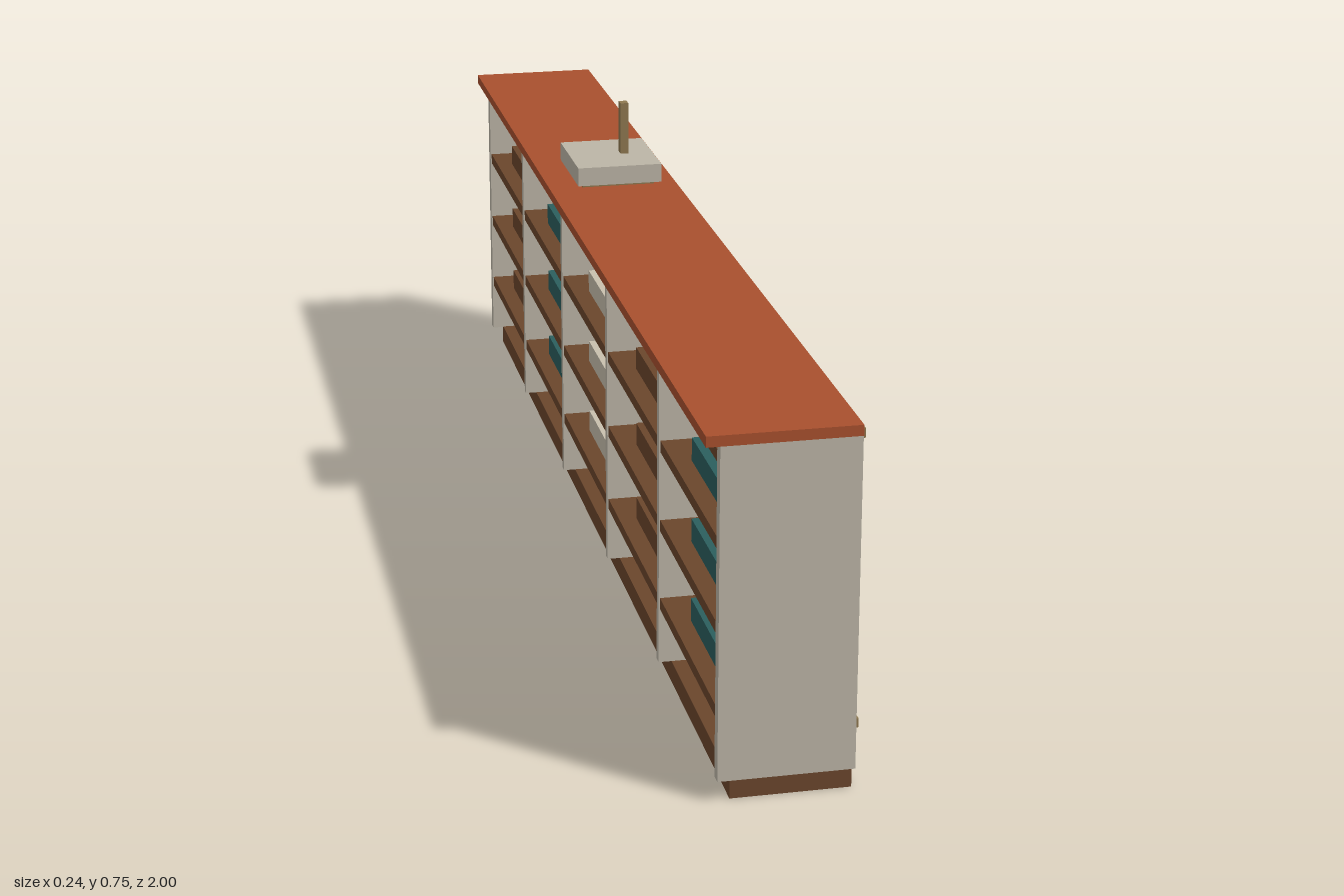
import * as THREE from 'three';

const material = (name, color) => {
  const m = new THREE.MeshStandardMaterial({ color });
  m.name = name;
  return m;
};

export function createModel() {
  const group = new THREE.Group();
  const cream = material('cream panel', 0xbcb5a6);
  const rust = material('rust counter', 0xa8502e);
  const brown = material('brown wood', 0x6b462c);
  const brass = material('brass', 0x8e7850);
  const teal = material('teal', 0x2b5f5e);
  const pale = material('pale box', 0xc8c0ae);

  // Box given by its extents on each axis
  const box = (name, mat, [x0, x1], [y0, y1], [z0, z1]) => {
    const mesh = new THREE.Mesh(new THREE.BoxGeometry(x1 - x0, y1 - y0, z1 - z0), mat);
    mesh.position.set((x0 + x1) / 2, (y0 + y1) / 2, (z0 + z1) / 2);
    mesh.name = name;
    group.add(mesh);
  };
  const around = (c, half) => [c - half, c + half];

  // Carcass
  box('plinth', brown, [-0.08, 0.097], [0, 0.034], [-0.99, 0.99]);
  box('counterTop', rust, [-0.12, 0.1], [0.535, 0.551], [-1, 1]);
  box('backPanel', cream, [0.085, 0.1], [0.033, 0.527], [-0.992, 0.992]);
  for (const s of [-1, 1]) {
    box('endPanel', cream, [-0.1, 0.0995], [0.033, 0.535], around(s * 0.991, 0.009));
  }

  // Upright dividers between the five bays
  for (const z of [-0.6, -0.2, 0.2, 0.6]) {
    box('divider', cream, [-0.1, 0.085], [0.034, 0.535], around(z, 0.007));
  }

  // Shelves, with one storage box per bay on the lower three
  const bayMaterials = [brown, teal, pale, brown, teal];
  for (let level = 0; level < 4; level++) {
    const top = 0.14 + level * 0.127;
    box('shelf', brown, [-0.098, 0.085], [top - 0.018, top], [-0.982, 0.982]);
    if (level === 3) continue;
    bayMaterials.forEach((mat, i) => {
      box('storageBox', mat, [-0.07, 0.05], [top, top + 0.036], around(-0.8 + i * 0.4, 0.106));
    });
  }

  // Fixing pegs on the closed side
  for (const z of [-0.93, 0.93]) {
    for (const y of [0.073, 0.515]) {
      box('peg', brass, [0.1, 0.12], around(y, 0.007), around(z, 0.01));
    }
  }

  // Hanging lamp above the counter
  box('lampHousing', cream, [-0.121, 0.016], [0.635, 0.665], [-0.08, 0.08]);
  box('lampDiffuser', brass, [-0.112, 0.006], [0.63, 0.635], [-0.07, 0.07]);
  box('lampRod', brass, [-0.037, -0.024], [0.665, 0.75], [-0.008, 0.008]);

  return group;
}
